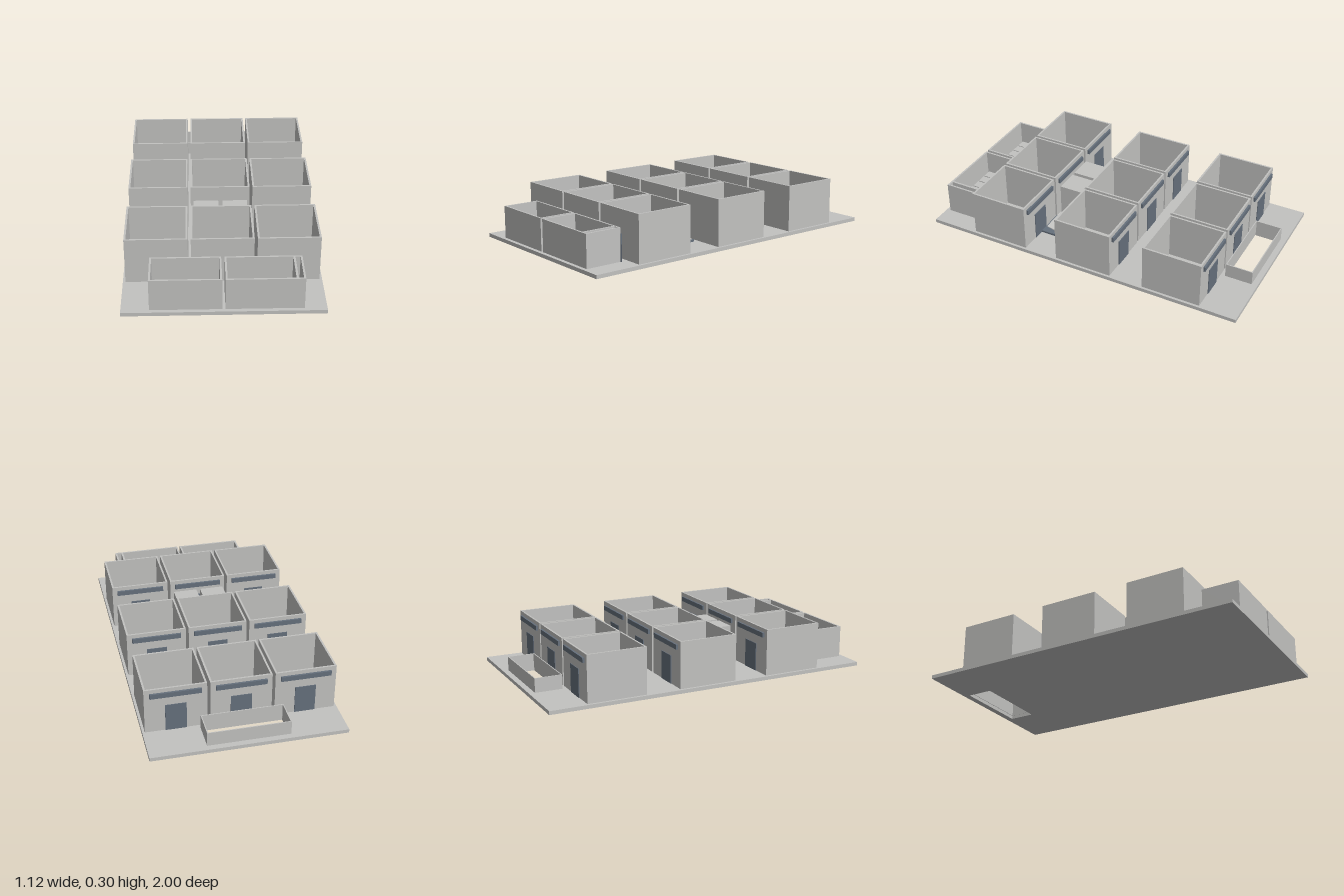
import * as THREE from 'three';

const concrete = new THREE.MeshStandardMaterial({ color: 0xc2c2c0 });
concrete.name = 'concrete grey';
const slate = new THREE.MeshStandardMaterial({ color: 0x66707c });
slate.name = 'slate blue';

const FLOOR = 0.022;

// box given by its extents along each axis
function block(name, [x0, x1], [y0, y1], [z0, z1], material = concrete) {
  const mesh = new THREE.Mesh(new THREE.BoxGeometry(x1 - x0, y1 - y0, z1 - z0), material);
  mesh.position.set((x0 + x1) / 2, (y0 + y1) / 2, (z0 + z1) / 2);
  mesh.name = name;
  return mesh;
}

function rectangle(target, x0, x1, y0, y1) {
  target.moveTo(x0, y0);
  target.lineTo(x1, y0);
  target.lineTo(x1, y1);
  target.lineTo(x0, y1);
  target.closePath();
  return target;
}

// rectangular slab with a rectangular opening, standing from y0 to y1
function frame(name, [x0, x1], [y0, y1], [z0, z1], hole) {
  const shape = rectangle(new THREE.Shape(), x0, x1, -z1, -z0);
  shape.holes.push(rectangle(new THREE.Path(), hole[0], hole[1], -hole[3], -hole[2]));
  const geometry = new THREE.ExtrudeGeometry(shape, { depth: y1 - y0, bevelEnabled: false });
  geometry.rotateX(-Math.PI / 2);
  const mesh = new THREE.Mesh(geometry, concrete);
  mesh.position.y = y0;
  mesh.name = name;
  return mesh;
}

// four walls open at the top
function walls(name, x, y, z, t) {
  return frame(name, x, y, z, [x[0] + t, x[1] - t, z[0] + t, z[1] - t]);
}

export function createModel() {
  const model = new THREE.Group();
  model.name = 'compound';

  // ground slab with the basin opening
  model.add(frame('groundSlab', [-0.56, 0.56], [0, FLOOR], [-1, 1], [-0.23, 0.23], [0, 0])
    && frame('groundSlab', [-0.56, 0.56], [0, FLOOR], [-1, 1], [-0.232, 0.232, -0.962, -0.805]));
  model.add(walls('basinWalls', [-0.237, 0.237], [FLOOR, 0.106], [-0.965, -0.801], 0.006));

  // nine open rooms, each with a door and a sign board on the back
  for (const z of [-0.775, -0.21, 0.355]) {
    for (const x of [-0.369, 0, 0.369]) {
      const room = new THREE.Group();
      room.name = 'room';
      room.add(walls('roomWalls', [x - 0.176, x + 0.176], [FLOOR, 0.3], [z, z + 0.357], 0.011));
      room.add(block('door', [x - 0.06, x + 0.06], [FLOOR, 0.19], [z - 0.004, z], slate));
      room.add(block('signBoard', [x - 0.145, x + 0.145], [0.247, 0.276], [z - 0.012, z], slate));
      model.add(room);
    }
  }

  // two lower front blocks with fittings along the front wall
  for (const [x0, x1] of [[-0.405, -0.01], [0.008, 0.437]]) {
    const hall = new THREE.Group();
    hall.name = 'frontBlock';
    hall.add(walls('blockWalls', [x0, x1], [FLOOR, 0.214], [0.755, 0.977], 0.011));
    for (let i = 0; i < 5; i++) {
      const x = x0 + 0.012 + i * 0.063;
      hall.add(block('fitting', [x, x + 0.056], [FLOOR, 0.07], [0.905, 0.96]));
    }
    hall.add(block('step', [x0 + 0.12, x0 + 0.276], [FLOOR, 0.04], [0.945, 0.966]));
    model.add(hall);
  }
  model.add(block('partition', [0.386, 0.398], [FLOOR, 0.214], [0.766, 0.966]));
  model.add(block('sideDoor', [0.4, 0.444], [FLOOR, 0.18], [0.75, 0.755], slate));

  // two closed cabins in the court
  for (const x of [-0.085, 0.085]) {
    model.add(block('cabin', [x - 0.073, x + 0.073], [FLOOR, 0.236], [0.193, 0.333]));
    model.add(block('cabinDoor', [x - 0.062, x + 0.062], [FLOOR, 0.2], [0.188, 0.193], slate));
  }

  // low tray with a tilted panel
  model.add(block('tray', [0.19, 0.366], [FLOOR, 0.034], [0.175, 0.35], slate));
  const panel = block('tiltedPanel', [0.203, 0.353], [0.048, 0.053], [0.178, 0.322]);
  panel.rotation.x = -0.22;
  model.add(panel);

  return model;
}
